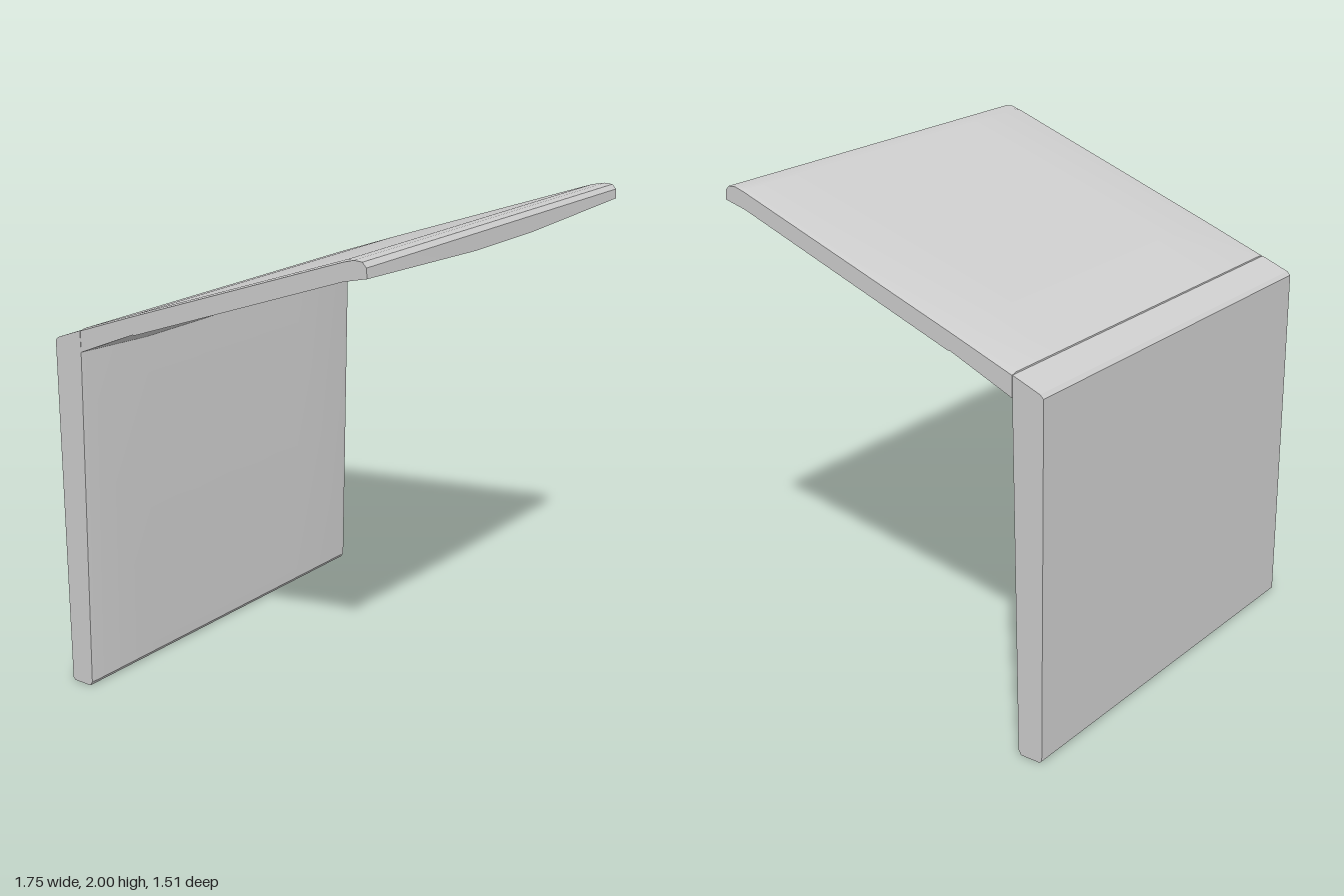
import * as THREE from 'three';
import { toCreasedNormals } from 'three/addons/utils/BufferGeometryUtils.js';

// Stations across the width; the outermost pair forms a narrow edge bevel.
const STATIONS = [-0.875, -0.85, -0.5, -0.2, 0.2, 0.5, 0.85, 0.875];

// Loft a [z, y] outline (counterclockwise seen from +x) across the width.
function loft(section) {
  const rings = STATIONS.map((x) => section(Math.abs(x)).map(([z, y]) => [x, y, z]));
  const pos = [];
  const tri = (a, b, c) => pos.push(...a, ...b, ...c);
  const n = rings[0].length;
  for (let i = 0; i < rings.length - 1; i++) {
    for (let j = 0; j < n; j++) {
      const k = (j + 1) % n;
      const [a, b, c, d] = [rings[i][j], rings[i][k], rings[i + 1][k], rings[i + 1][j]];
      tri(a, b, c);
      tri(a, c, d);
    }
  }
  // End caps
  const right = rings[0], left = rings[rings.length - 1];
  const outline = left.map(([, y, z]) => new THREE.Vector2(-z, y));
  for (const [a, b, c] of THREE.ShapeUtils.triangulateShape(outline, [])) {
    tri(left[a], left[b], left[c]);
    tri(right[c], right[b], right[a]);
  }
  const geo = new THREE.BufferGeometry();
  geo.setAttribute('position', new THREE.Float32BufferAttribute(pos, 3));
  return toCreasedNormals(geo, 0.3);
}

// Sloping canopy: rounded front lip, thin sheet, thicker wedge at the rear
function canopySection(ax) {
  const bow = THREE.MathUtils.clamp((ax - 0.2) / 0.675, 0, 1); // lip rises to the ends
  const sag = THREE.MathUtils.clamp((ax - 0.5) / 0.375, 0, 1); // wedge rises to the ends
  const edge = ax > 0.86 ? 0.006 : 0;
  return [
    [0.755, 1.916 + 0.026 * bow],
    [0.655, 1.912 + 0.006 * bow],
    [-0.33, 1.58 - 0.015 * bow],
    [-0.342, 1.565],
    [-0.618, 1.43 + 0.02 * sag],
    [-0.618, 1.542 - edge],
    [-0.342, 1.642 - edge],
    [0.655, 1.993 - edge],
    [0.7, 2],
    [0.735, 1.998],
    [0.752, 1.98],
  ];
}

// Upright panel: slightly tapered, sloping top, chamfered foot
function panelSection(ax) {
  const edge = ax > 0.86 ? 0.004 : 0;
  return [
    [-0.642 - edge, 0.02],
    [-0.658, 0],
    [-0.745, 0],
    [-0.755, 0.01],
    [-0.755, 1.478],
    [-0.74, 1.492],
    [-0.62, 1.537],
    [-0.615 - edge, 1.44],
  ];
}

export function createModel() {
  const model = new THREE.Group();
  model.name = 'canopyAndBackPanel';
  const grey = new THREE.MeshStandardMaterial({ color: 0xcccccc });
  grey.name = 'light grey';

  const add = (name, section) => {
    const mesh = new THREE.Mesh(loft(section), grey);
    mesh.name = name;
    model.add(mesh);
  };
  add('canopy', canopySection);
  add('backPanel', panelSection);
  return model;
}
